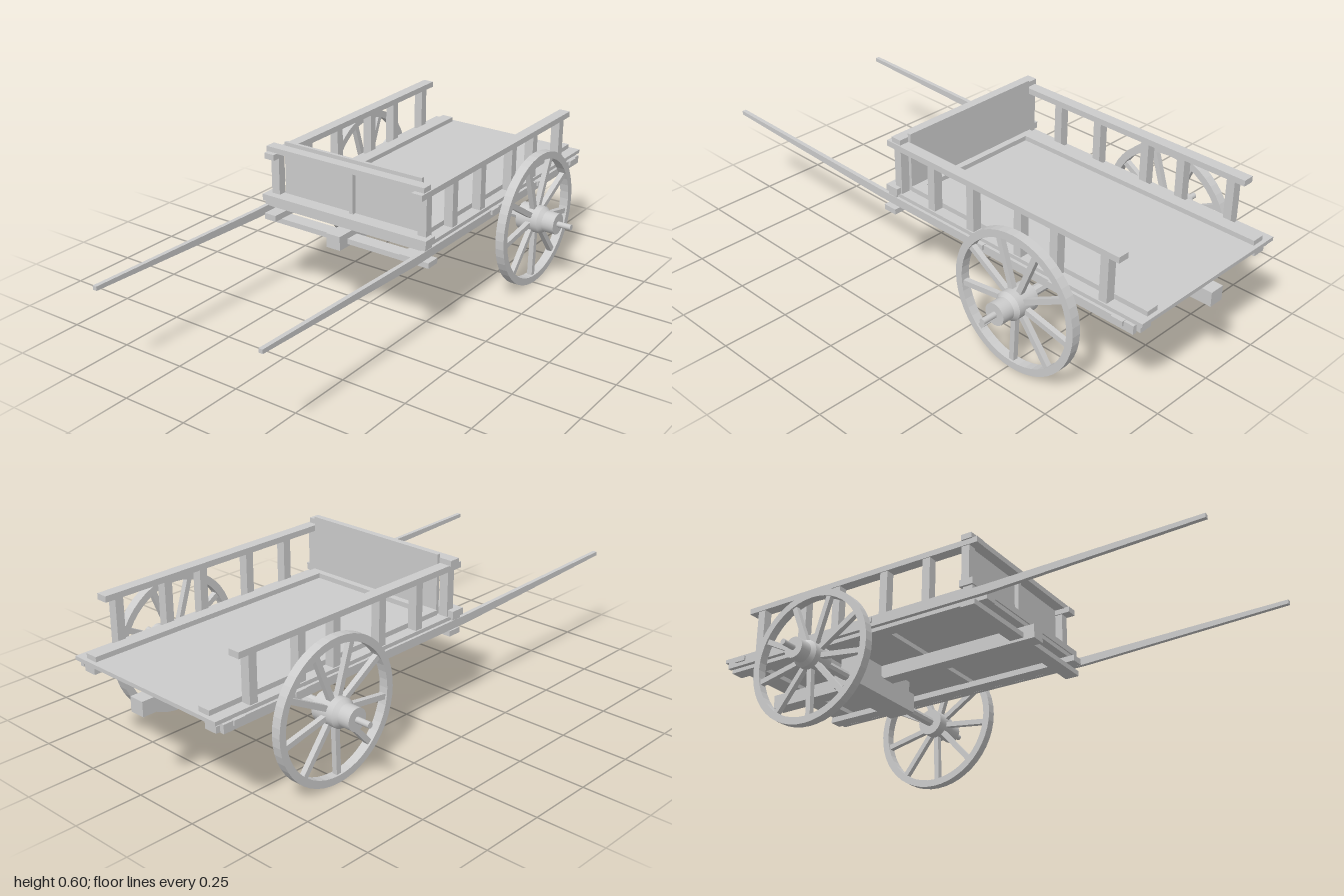
import * as THREE from 'three';

const material = new THREE.MeshStandardMaterial({ color: 0xcccccc, flatShading: true });
const smooth = new THREE.MeshStandardMaterial({ color: 0xcccccc });

export function createModel() {
  const cart = new THREE.Group();
  cart.name = 'handCart';

  const add = (name, geometry, parent = cart, mat = material) => {
    const mesh = new THREE.Mesh(geometry, mat);
    mesh.name = name;
    parent.add(mesh);
    return mesh;
  };
  // Box given by its limits on each axis
  const box = (name, x0, x1, y0, y1, z0, z1) => {
    const mesh = add(name, new THREE.BoxGeometry(x1 - x0, y1 - y0, z1 - z0));
    mesh.position.set((x0 + x1) / 2, (y0 + y1) / 2, (z0 + z1) / 2);
    return mesh;
  };
  // The body sits slightly off centre: mirror limits about its own middle
  const MID = -0.01;
  const pair = (name, inner, outer, y0, y1, z0, z1) => {
    box(name, MID + inner, MID + outer, y0, y1, z0, z1);
    box(name, MID - outer, MID - inner, y0, y1, z0, z1);
  };

  // Floor and the timbers below it
  box('floor', -0.35, 0.33, 0.362, 0.376, -0.975, 0.15);
  for (const z of [-0.89, -0.633, -0.297]) {
    box('crossJoist', -0.365, 0.348, 0.345, 0.363, z - 0.023, z + 0.023);
  }
  pair('longBeam', 0.27, 0.32, 0.323, 0.346, -0.955, 0.19);
  box('centreBeam', -0.042, 0.016, 0.293, 0.346, -1, 0.2);
  box('frontCrossBar', -0.355, 0.355, 0.303, 0.323, 0.1, 0.155);

  // Sills round the floor
  pair('sideSill', 0.25, 0.298, 0.376, 0.394, -0.96, 0.085);
  box('innerFrontSill', -0.26, 0.24, 0.376, 0.394, 0.06, 0.085);
  box('frontSill', -0.367, 0.343, 0.375, 0.4, 0.1, 0.155);
  box('frontFloorBar', -0.358, 0.338, 0.358, 0.375, 0.11, 0.15);

  // Side railings
  for (const z of [0.11, -0.055, -0.24, -0.455, -0.61, -0.815]) {
    pair('sidePost', 0.3, 0.335, 0.374, 0.548, z - 0.016, z + 0.016);
  }
  pair('topRail', 0.295, 0.338, 0.543, 0.565, -0.872, 0.16);

  // Front board
  box('frontPanel', -0.303, 0.286, 0.376, 0.598, 0.086, 0.099);
  box('frontTopBar', -0.354, 0.323, 0.563, 0.584, 0.098, 0.14);
  box('frontSlat', -0.007, 0.01, 0.4, 0.563, 0.098, 0.115);

  // Shafts: a straight rail under the floor edge, tapering up to the tip
  const profile = new THREE.Shape();
  [[0.95, 0.33], [-0.2, 0.33], [-1, 0.362], [-1, 0.377], [-0.2, 0.361], [0.95, 0.361]]
    .forEach(([u, v], i) => (i ? profile.lineTo(u, v) : profile.moveTo(u, v)));
  const shaft = new THREE.ExtrudeGeometry(profile, { depth: 0.016, bevelEnabled: false });
  shaft.rotateY(Math.PI / 2);
  for (const x of [-0.359, 0.324]) add('shaft', shaft).position.x = x;

  // Axle
  const AXLE_Y = 0.259, AXLE_Z = -0.515;
  box('axleBlock', -0.195, 0.155, 0.222, 0.298, AXLE_Z - 0.055, AXLE_Z + 0.055);
  box('bolster', -0.17, 0.135, 0.297, 0.346, AXLE_Z - 0.045, AXLE_Z + 0.045);
  const axle = add('axle', new THREE.CylinderGeometry(0.018, 0.018, 0.72, 8));
  axle.rotation.z = Math.PI / 2;
  axle.position.set(0, AXLE_Y, AXLE_Z);

  // Wheels, each built with its axis along x
  const ring = new THREE.Shape();
  ring.absarc(0, 0, 0.258, 0, Math.PI * 2);
  const hole = new THREE.Path();
  hole.absarc(0, 0, 0.231, 0, Math.PI * 2);
  ring.holes.push(hole);
  const rim = new THREE.ExtrudeGeometry(ring, { depth: 0.034, bevelEnabled: false, curveSegments: 24 });
  rim.translate(0, 0, -0.017);
  rim.rotateY(Math.PI / 2);

  // Hub: barrel, sloped shoulder, cap; doubled points keep the edges sharp
  const hubPoints = [[0, -0.052], [0.052, -0.052], [0.052, -0.052], [0.052, 0.035], [0.052, 0.035],
    [0.04, 0.05], [0.04, 0.05], [0.04, 0.098], [0.04, 0.098], [0, 0.098]];
  const hub = new THREE.LatheGeometry(hubPoints.map(([r, h]) => new THREE.Vector2(r, h)), 24);
  hub.rotateZ(-Math.PI / 2);
  const stub = new THREE.CylinderGeometry(0.011, 0.011, 0.07, 12);
  stub.rotateZ(Math.PI / 2);
  const spokeGeometry = new THREE.BoxGeometry(0.02, 0.195, 0.02);
  spokeGeometry.translate(0, 0.1395, 0);

  for (const side of [1, -1]) {
    const wheel = new THREE.Group();
    wheel.name = side > 0 ? 'leftWheel' : 'rightWheel';
    wheel.position.set(side * 0.391, AXLE_Y, AXLE_Z);
    add('rim', rim, wheel, smooth);
    add('hub', hub, wheel, smooth).rotation.y = side > 0 ? 0 : Math.PI;
    add('axleEnd', stub, wheel, smooth).position.x = side * 0.118;
    for (let i = 0; i < 9; i++) {
      add('spoke', spokeGeometry, wheel).rotation.x = Math.PI * (-1.011 + (i * 2) / 9);
    }
    cart.add(wheel);
  }
  return cart;
}
